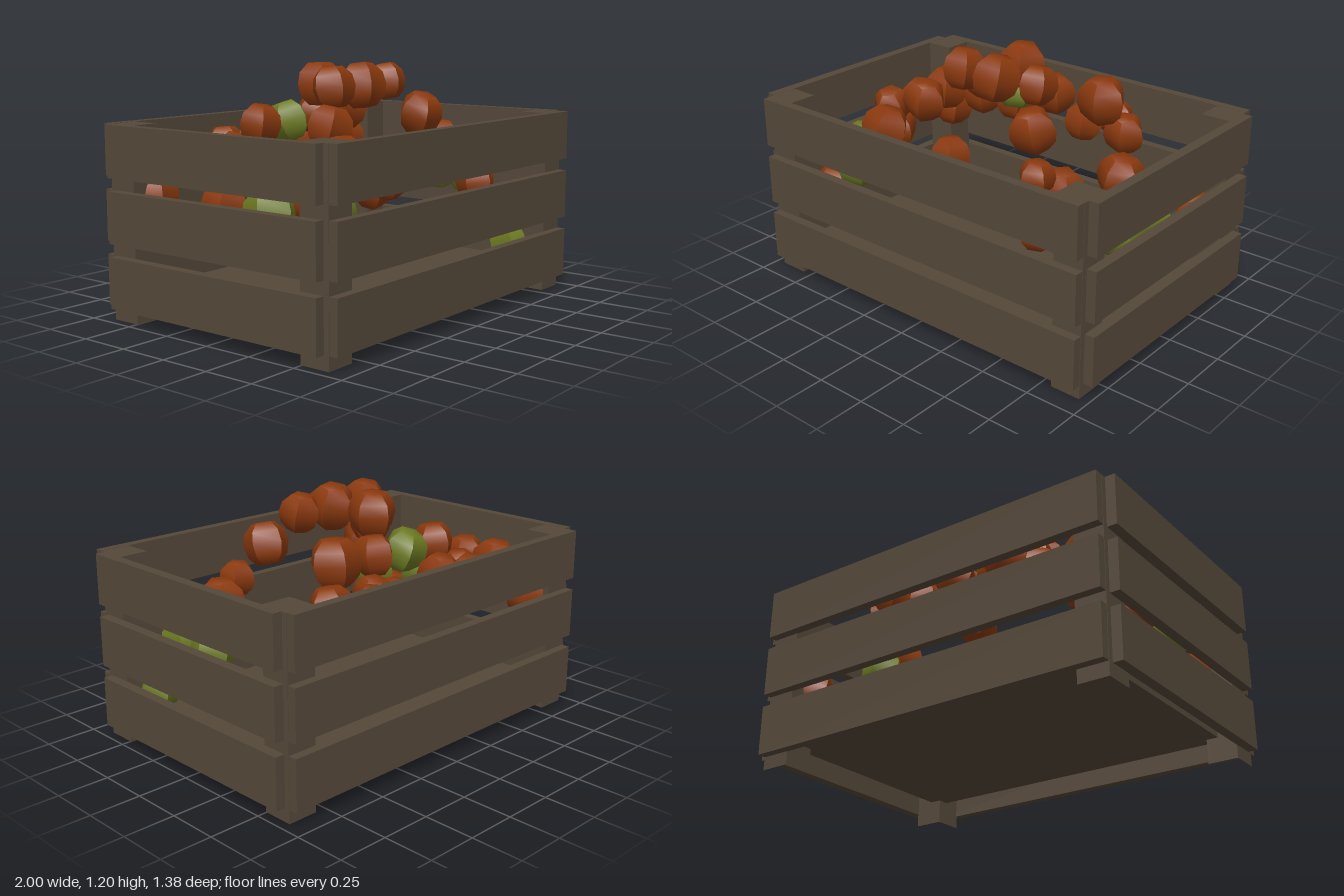
import * as THREE from 'three';
import { toCreasedNormals } from 'three/addons/utils/BufferGeometryUtils.js';

function material(name, color) {
  const m = new THREE.MeshStandardMaterial({ color });
  m.name = name;
  return m;
}

export function createModel() {
  const wood = material('wood', 0x55483a);
  const red = material('ripeFruit', 0x8a390e);
  const green = material('unripeFruit', 0x6d7a22);
  const model = new THREE.Group();
  model.name = 'fruitCrate';

  const addBox = (name, x0, x1, y0, y1, z0, z1) => {
    const mesh = new THREE.Mesh(new THREE.BoxGeometry(x1 - x0, y1 - y0, z1 - z0), wood);
    mesh.position.set((x0 + x1) / 2, (y0 + y1) / 2, (z0 + z1) / 2);
    mesh.name = name;
    model.add(mesh);
    return mesh;
  };

  // Three rows of slats on each wall
  for (const y of [0.065, 0.373, 0.68]) {
    const top = y + 0.245;
    addBox('frontSlat', -0.95, 0.95, y, top, 0.643, 0.69);
    addBox('backSlat', -0.95, 0.95, y, top, -0.69, -0.643);
    addBox('leftSlat', 0.95, 1, y, top, -0.62, 0.62);
    addBox('rightSlat', -1, -0.95, y, top, -0.62, 0.62);
  }

  // Corner posts, hollow at the foot
  for (const sx of [-1, 1]) for (const sz of [-1, 1]) {
    const post = addBox('cornerPost', sx * 0.877 - 0.075, sx * 0.877 + 0.075, 0, 0.924,
      sz * 0.572 - 0.075, sz * 0.572 + 0.075);
    const index = Array.from(post.geometry.index.array);
    index.splice(18, 6);
    post.geometry.setIndex(index);
    post.geometry.clearGroups();
  }

  addBox('floor', -0.86, 0.86, 0.12, 0.15, -0.555, 0.555);

  // Five-sided fruit, rounded from pole to pole and creased between its sides
  const profile = [[0, -0.88], [0.5, -0.86], [0.86, -0.5], [1, 0], [0.9, 0.5], [0.52, 0.88], [0, 0.9]]
    .map(([r, y]) => new THREE.Vector2(r, y));
  const fruitGeometry = toCreasedNormals(new THREE.LatheGeometry(profile, 5), 0.9);

  let seed = 7;
  const random = () => (seed = (seed * 16807) % 2147483647) / 2147483647;

  const addFruits = (name, mat, list) => {
    for (const [x, y, z, r] of list) {
      const fruit = new THREE.Mesh(fruitGeometry, mat);
      fruit.name = name;
      fruit.position.set(x, y, z);
      fruit.rotation.set((random() - 0.5) * 0.5, random() * Math.PI * 2, (random() - 0.5) * 0.5);
      fruit.scale.setScalar(r);
      model.add(fruit);
    }
  };

  // Ripe fruit: x, y, z, radius
  addFruits('ripeFruit', red, [
    // top of the heap
    [0.01, 1.08, 0.07, 0.12], [-0.2, 1.08, 0.06, 0.11], [0.24, 1.09, 0.05, 0.1], [-0.02, 1.08, -0.17, 0.12],
    // upper layer
    [0.36, 0.94, -0.31, 0.125], [0.33, 0.93, 0.19, 0.115],
  ]);
  addFruits('ripeFruit', red, [
    [-0.36, 0.91, 0.17, 0.11], [0.09, 0.92, -0.29, 0.105], [-0.35, 0.9, -0.27, 0.105],
    [-0.36, 0.56, -0.01, 0.105], [0.35, 0.57, -0.02, 0.11],
  ]);
  // middle and lower layers
  addFruits('ripeFruit', red, [
    [-0.35, 0.78, -0.5, 0.105], [-0.44, 0.77, -0.36, 0.1], [-0.25, 0.78, -0.4, 0.11],
    [0.2, 0.77, -0.39, 0.1], [0.32, 0.78, -0.5, 0.095], [0.45, 0.77, -0.38, 0.105],
    [-0.48, 0.78, 0.33, 0.12], [0.43, 0.76, 0.29, 0.09], [0.53, 0.58, 0.4, 0.105],
  ]);
  addFruits('ripeFruit', red, [
    [-0.8, 0.58, -0.52, 0.11], [-0.71, 0.75, -0.37, 0.12], [-0.8, 0.58, -0.07, 0.11],
    [-0.72, 0.75, -0.17, 0.105], [-0.72, 0.76, 0.04, 0.105], [-0.78, 0.42, 0.41, 0.11],
    [0.72, 0.76, 0.05, 0.115], [0.83, 0.42, -0.48, 0.12],
  ]);

  // Unripe fruit
  addFruits('unripeFruit', green, [
    [-0.14, 0.9, -0.27, 0.11], [-0.79, 0.57, 0.19, 0.125], [-0.62, 0.57, 0.39, 0.115],
    [0.65, 0.6, -0.18, 0.11], [0.83, 0.58, -0.02, 0.11], [0.82, 0.57, 0.18, 0.12],
    [0.8, 0.24, 0.45, 0.11],
  ]);

  return model;
}
